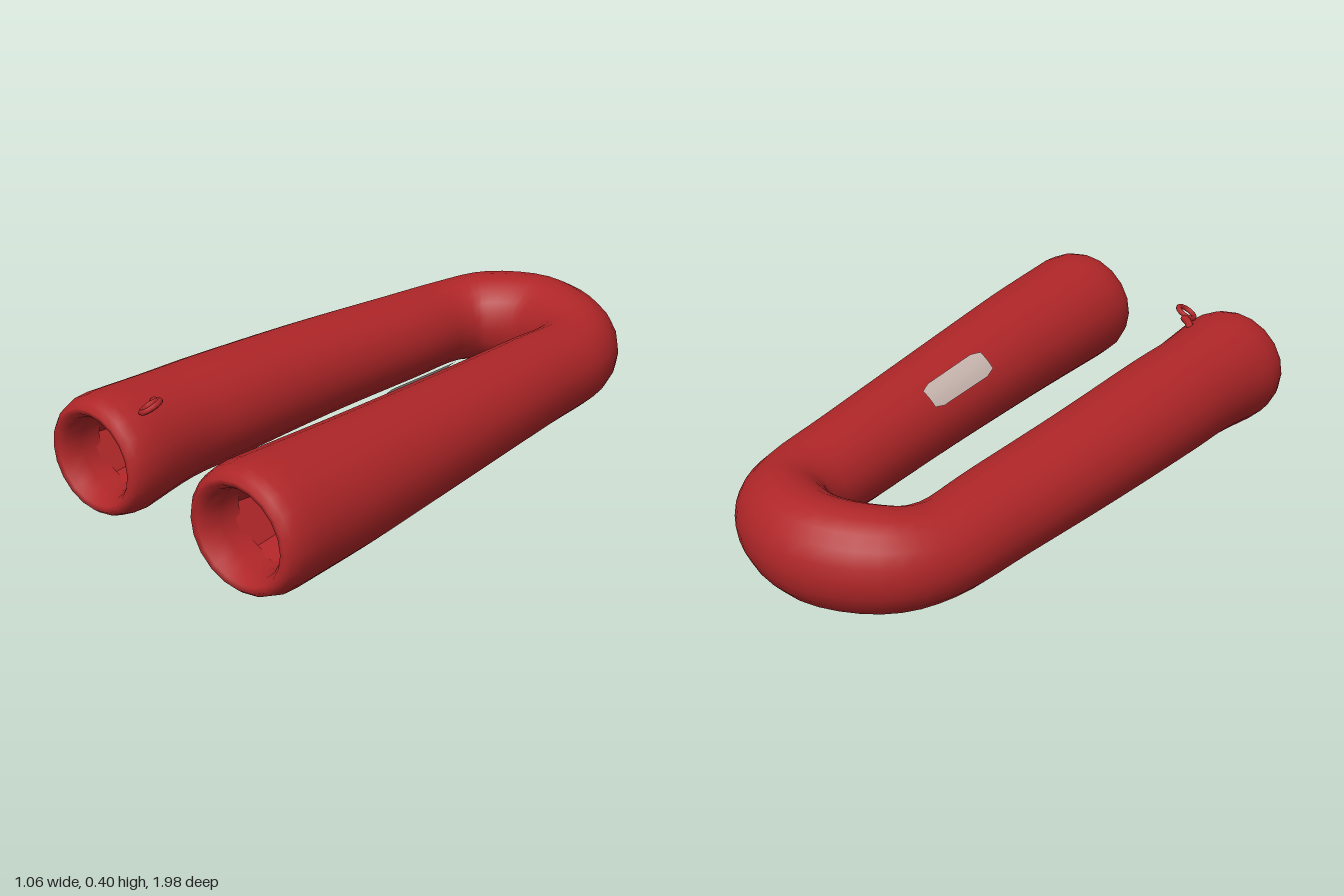
import * as THREE from 'three';

const red = new THREE.MeshStandardMaterial({ color: 0xb02628 });
red.name = 'red fabric';
const pale = new THREE.MeshStandardMaterial({ color: 0xccb8b2, side: THREE.DoubleSide });
pale.name = 'pale label';

// Stations along the U: x, z, centre height, half width, half height
const stations = [
  [-0.335, 0.80, 0.19, 0.195, 0.188],
  [-0.335, 0.60, 0.197, 0.178, 0.172],
  [-0.328, 0.40, 0.195, 0.178, 0.168],
  [-0.313, 0.00, 0.187, 0.167, 0.157],
  [-0.285, -0.40, 0.175, 0.155, 0.147],
  [-0.265, -0.65, 0.167, 0.145, 0.142],
  [-0.18, -0.79, 0.172, 0.145, 0.155],
  [0, -0.855, 0.175, 0.145, 0.161],
  [0.18, -0.79, 0.172, 0.145, 0.155],
  [0.265, -0.65, 0.167, 0.145, 0.142],
  [0.28, -0.40, 0.175, 0.155, 0.147],
  [0.302, 0.00, 0.187, 0.171, 0.157],
  [0.32, 0.40, 0.198, 0.187, 0.172],
  [0.327, 0.60, 0.203, 0.195, 0.18],
  [0.33, 0.88, 0.21, 0.202, 0.19],
];
const V = (x, y, z) => new THREE.Vector3(x, y, z);
const path = new THREE.CatmullRomCurve3(stations.map(s => V(s[0], s[2], s[1])), false, 'catmullrom');
const sizes = new THREE.CatmullRomCurve3(stations.map(s => V(s[3], s[4], 0)), false, 'catmullrom');

// Ring on the U at parameter t, with its sideways direction
function bodyRing(t) {
  const dir = path.getTangent(t).setY(0).normalize();
  const size = sizes.getPoint(t);
  return { c: path.getPoint(t), side: V(dir.z, 0, -dir.x), rx: size.x, ry: size.y };
}

function ringPoint(r, a, grow = 0) {
  return r.c.clone().addScaledVector(r.side, Math.cos(a) * (r.rx + grow))
    .add(V(0, Math.sin(a) * (r.ry + grow), 0));
}

// Skin rows of points, optionally closed around
function skin(rows, closed) {
  const n = rows[0].length, pos = [], idx = [];
  rows.forEach(row => row.forEach(p => pos.push(p.x, p.y, p.z)));
  for (let i = 0; i < rows.length - 1; i++) {
    for (let j = 0; j < (closed ? n : n - 1); j++) {
      const a = i * n + j, b = i * n + (j + 1) % n;
      idx.push(a, b, a + n, b, b + n, a + n);
    }
  }
  const g = new THREE.BufferGeometry();
  g.setAttribute('position', new THREE.Float32BufferAttribute(pos, 3));
  g.setIndex(idx);
  g.computeVertexNormals();
  return g;
}

function loft(rings, sides) {
  return skin(rings.map(r => Array.from({ length: sides }, (_, j) =>
    ringPoint(r, j / sides * Math.PI * 2))), true);
}

// Rings of an open end: profile of [radius scale, depth behind the rim]
function endRings(station, sign, profile) {
  const [x, z, y, rx, ry] = station;
  return profile.map(([k, d, dx = 0, dy = 0]) => ({
    c: V(x + dx, y + dy, z + 0.1 - d), side: V(sign, 0, 0), rx: rx * k, ry: ry * k,
  }));
}
const lip = [[0.64, 0.14], [0.63, 0.07], [0.68, 0.025], [0.76, 0.004], [0.85, 0], [0.93, 0.018], [0.985, 0.05]];
const lining = [[0, 0.6, 0.02, -0.02], [0.24, 0.6, 0.02, -0.02], [0.4, 0.5, 0.015, -0.01],
  [0.5, 0.36, 0.01, -0.005], [0.62, 0.22], [0.72, 0.12]];

export function createModel() {
  const model = new THREE.Group();
  const add = (name, geo, mat) => {
    const m = new THREE.Mesh(geo, mat);
    m.name = name;
    model.add(m);
    return m;
  };
  const first = stations[0], last = stations[stations.length - 1];

  // Bent tube with rolled lips
  const body = [];
  for (let i = 0; i <= 56; i++) body.push(bodyRing(i / 56));
  add('bentTube', loft([...endRings(first, -1, lip), ...body,
    ...endRings(last, 1, lip).reverse()], 20), red);

  // Faceted hollow inside each open end
  const flat = rings => {
    const g = loft(rings, 6).toNonIndexed();
    g.computeVertexNormals();
    return g;
  };
  add('rightLining', flat(endRings(first, -1, lining)), red);
  const mirrored = lining.map(([k, d, dx = 0, dy = 0]) => [k, d, -dx, dy]);
  add('leftLining', flat(endRings(last, 1, mirrored).reverse()), red);

  // Label lying on the inner upper side of the left leg
  const rows = [];
  for (let i = 0; i <= 8; i++) {
    const u = i / 8;
    const ring = bodyRing((11 - 0.33 + 0.73 * u) / (stations.length - 1));
    const half = (i === 0 || i === 8) ? 0.19 : 0.26;
    rows.push(Array.from({ length: 6 }, (_, j) =>
      ringPoint(ring, 2.34 + half * (j / 2.5 - 1), 0.006)));
  }
  add('label', skin(rows, false), pale);

  // Small hanging loop and its stitched root
  const loop = add('hangingLoop', new THREE.TorusGeometry(0.031, 0.009, 8, 14), red);
  loop.position.set(-0.195, 0.364, 0.785);
  loop.quaternion.setFromUnitVectors(V(0, 0, 1), V(-0.45, 0.85, 0.25).normalize());
  const root = new THREE.CatmullRomCurve3([V(-0.26, 0.335, 0.71), V(-0.235, 0.353, 0.735), V(-0.205, 0.358, 0.755)]);
  add('loopRoot', new THREE.TubeGeometry(root, 6, 0.013, 8), red);

  return model;
}
